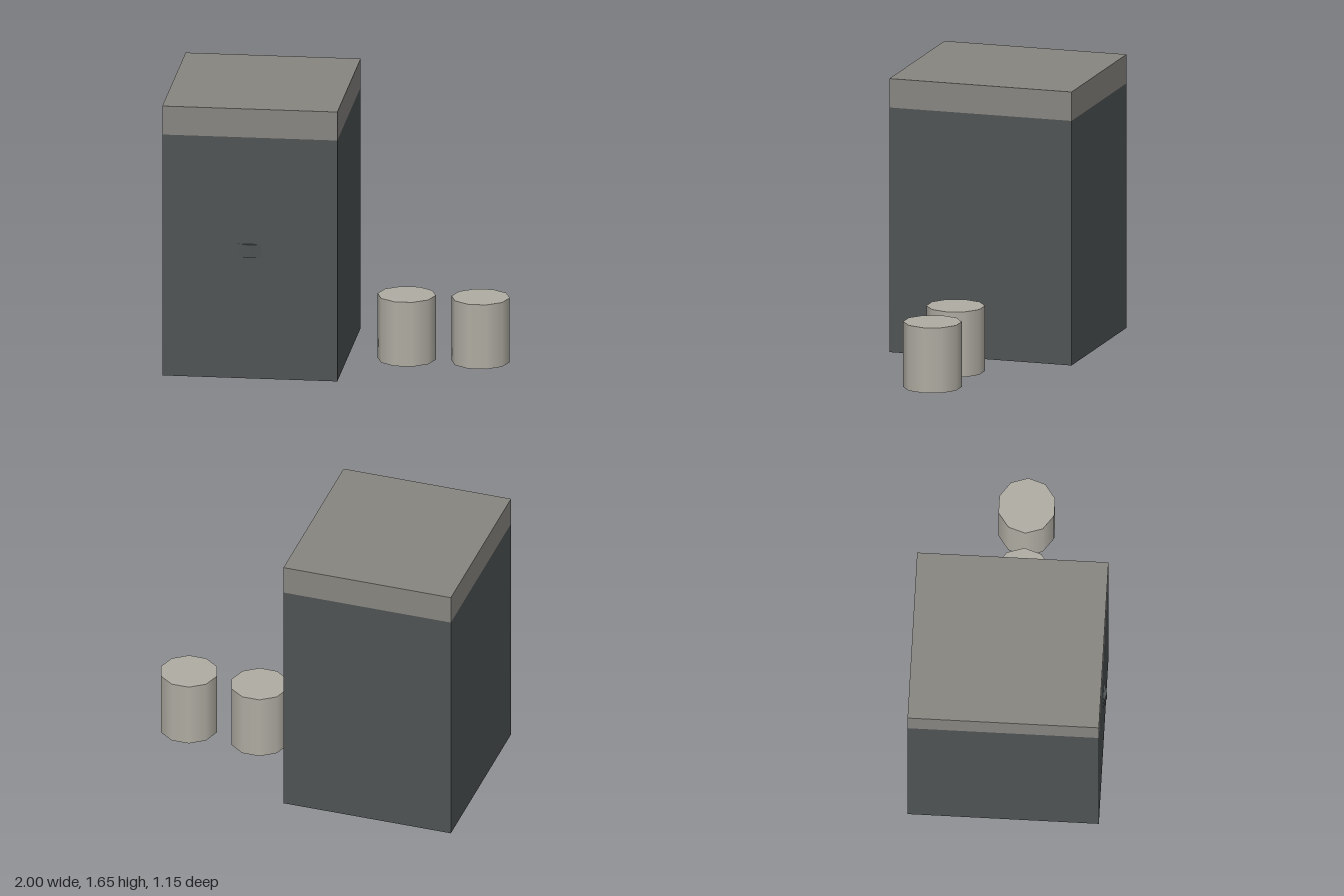
import * as THREE from 'three';

export function createModel() {
  const model = new THREE.Group();
  const paint = (name, color) => {
    const m = new THREE.MeshStandardMaterial({ color });
    m.name = name;
    return m;
  };
  const charcoal = paint('charcoal', 0x4e5354);
  const warmGrey = paint('warm grey', 0x878580);
  const paleStone = paint('pale stone', 0xafaca2);

  const add = (name, geometry, material, x, y, z) => {
    const mesh = new THREE.Mesh(geometry, material);
    mesh.name = name;
    mesh.position.set(x, y, z);
    model.add(mesh);
    return mesh;
  };

  // Cabinet body and the slab lid resting on it
  const width = 1.04, depth = 1.13, bodyHeight = 1.48, lidHeight = 0.175;
  const cx = -0.48, cz = -0.01;
  add('cabinetBody', new THREE.BoxGeometry(width, bodyHeight, depth), charcoal, cx, bodyHeight / 2, cz);
  add('lid', new THREE.BoxGeometry(width, lidHeight, depth), warmGrey, cx, bodyHeight + lidHeight / 2, cz);

  // Shallow wedge-shaped handle on the front
  const wedge = new THREE.Shape();
  wedge.moveTo(-0.085, 0.005);
  wedge.lineTo(0, -0.02);
  wedge.lineTo(0.085, 0.005);
  wedge.closePath();
  const handleGeometry = new THREE.ExtrudeGeometry(wedge, { depth: 0.08, bevelEnabled: false });
  handleGeometry.rotateX(-Math.PI / 2);
  add('handle', handleGeometry, charcoal, cx, 0.745, 0.555);

  // Two ten-sided canisters standing beside the cabinet
  const canister = new THREE.CylinderGeometry(0.173, 0.173, 0.395, 10, 1, false, Math.PI / 2);
  [0.388, 0.827].forEach((x, i) => add(`canister${i + 1}`, canister, paleStone, x, 0.1975, 0.03));

  return model;
}
